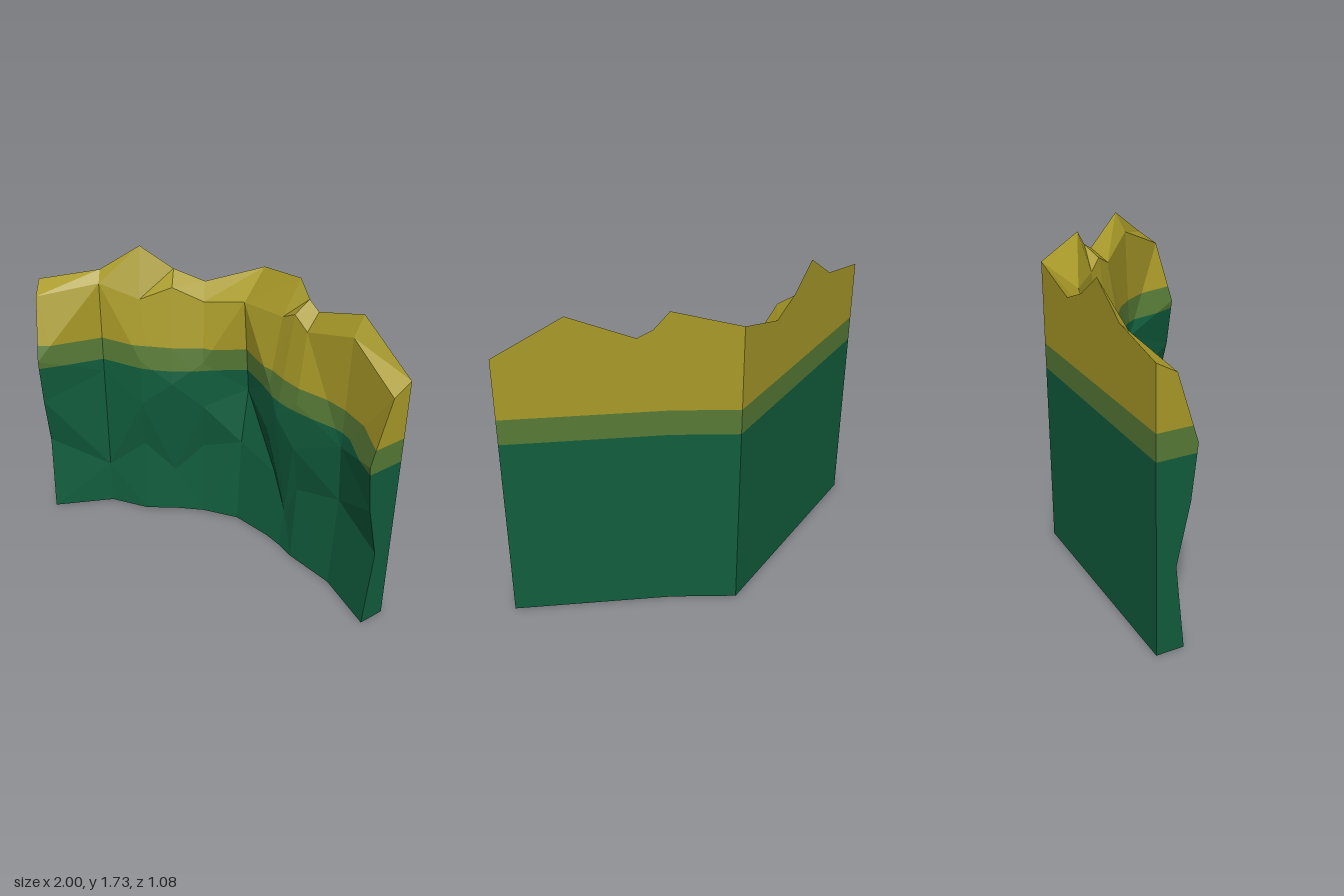
import * as THREE from 'three';

// Colour bands by height
const BANDS = [
  { name: 'lowerRock', color: 0x115d3d, lo: -1, hi: 1.04 },
  { name: 'transitionBand', color: 0x577a36, lo: 1.04, hi: 1.18 },
  { name: 'upperRock', color: 0xa99a28, lo: 1.18, hi: 9 },
];

// The back runs straight, then turns forward past the corner
const CORNER = 0.27;
function backZ(x) {
  const t = Math.max(0, x - CORNER);
  return -0.545 + 1.5 * Math.min(t, 0.195) + 1.225 * Math.max(0, t - 0.195);
}

// One vertical cliff section; depths are measured from the back along the angle
function column(x, topY, angle, heights, depths) {
  const at = (y, d) => new THREE.Vector3(x - Math.sin(angle) * d, y, backZ(x) + Math.cos(angle) * d);
  return {
    front: heights.map((y, i) => at(y, depths[i])),
    backBase: at(0, 0),
    backTop: at(topY, 0),
    ridge: heights.length === 4,
  };
}

// Bulging sections share their heights; ridges have their own low and mid points
const END = [0.15, 0.105, 0.18, 0.215, 0.105];
const INNER = [0.13, 0.1, 0.16, 0.155, 0.095];
const bulge = (x, topY, angle, lipY, depths) =>
  column(x, topY, angle, [0, 0.48, 0.8, 1.09, lipY], depths);
const ridge = (x, topY, angle, [low, mid, lip], depths) =>
  column(x, topY, angle, [0, low, mid, lip], depths);

const columns = () => [
  bulge(-1, 1.51, 0, 1.45, END),
  ridge(-0.65, 1.58, 0, [0.28, 0.96, 1.52], [0.065, 0.06, 0.065, 0.055]),
  bulge(-0.42, 1.73, 0, 1.45, INNER),
  ridge(-0.235, 1.6, 0, [0.29, 0.96, 1.53], [0.12, 0.1, 0.19, 0.095]),
  bulge(-0.06, 1.53, 0, 1.45, INNER),
  ridge(CORNER, 1.63, 0.56, [0.56, 0.9, 1.49], [0.22, 0.19, 0.13, 0.19]),
  bulge(0.465, 1.71, 1.15, 1.5, INNER),
  ridge(0.515, 1.62, 0.96, [0.25, 0.95, 1.555], [0.12, 0.09, 0.18, 0.09]),
  bulge(0.565, 1.58, 0.64, 1.5, INNER),
  ridge(0.775, 1.71, 0.88, [0.59, 0.95, 1.6], [0.09, 0.06, 0.08, 0.06]),
  bulge(1, 1.51, 0.88, 1.45, END),
];

// Joins two front profiles with triangles, climbing by height
function stitch(a, b, faces) {
  const key = (c, i) => (i < c.front.length ? c.front[i].y - (c.ridge ? 0.1 : 0) : Infinity);
  let i = 0, j = 0;
  while (i < a.front.length - 1 || j < b.front.length - 1) {
    if (key(a, i + 1) <= key(b, j + 1)) {
      faces.push([a.front[i], b.front[j], a.front[i + 1]]);
      i++;
    } else {
      faces.push([a.front[i], b.front[j], b.front[j + 1]]);
      j++;
    }
  }
}

// Keeps the part of a polygon on one side of a height
function clip(poly, y, sign) {
  const out = [];
  poly.forEach((p, i) => {
    const q = poly[(i + 1) % poly.length];
    const dp = (p.y - y) * sign, dq = (q.y - y) * sign;
    if (dp >= 0) out.push(p);
    if (dp * dq < 0) out.push(p.clone().lerp(q, dp / (dp - dq)));
  });
  return out;
}

function bandGeometry(faces, { lo, hi }) {
  const points = [];
  for (const face of faces) {
    const poly = clip(clip(face, lo, 1), hi, -1);
    for (let i = 1; i < poly.length - 1; i++) points.push(poly[0], poly[i], poly[i + 1]);
  }
  const geometry = new THREE.BufferGeometry().setFromPoints(points);
  geometry.computeVertexNormals();
  return geometry;
}

export function createModel() {
  const cols = columns();
  const faces = [];

  // Front, top, underside and back
  for (let k = 0; k < cols.length - 1; k++) {
    const a = cols[k], b = cols[k + 1];
    const aLip = a.front.at(-1), bLip = b.front.at(-1);
    stitch(a, b, faces);
    faces.push([aLip, bLip, b.backTop], [aLip, b.backTop, a.backTop]);
    faces.push([a.backBase, b.backBase, b.front[0]], [a.backBase, b.front[0], a.front[0]]);
    faces.push([b.backBase, a.backBase, a.backTop], [b.backBase, a.backTop, b.backTop]);
  }

  // End walls
  [cols[0], cols.at(-1)].forEach((c, side) => {
    const rim = [...c.front, c.backTop];
    for (let i = 0; i < rim.length - 1; i++) {
      faces.push(side ? [c.backBase, rim[i + 1], rim[i]] : [c.backBase, rim[i], rim[i + 1]]);
    }
  });

  const cliff = new THREE.Group();
  cliff.name = 'cliffWall';
  for (const band of BANDS) {
    const material = new THREE.MeshStandardMaterial({ color: band.color });
    material.name = band.name + 'Colour';
    const mesh = new THREE.Mesh(bandGeometry(faces, band), material);
    mesh.name = band.name;
    cliff.add(mesh);
  }
  return cliff;
}
